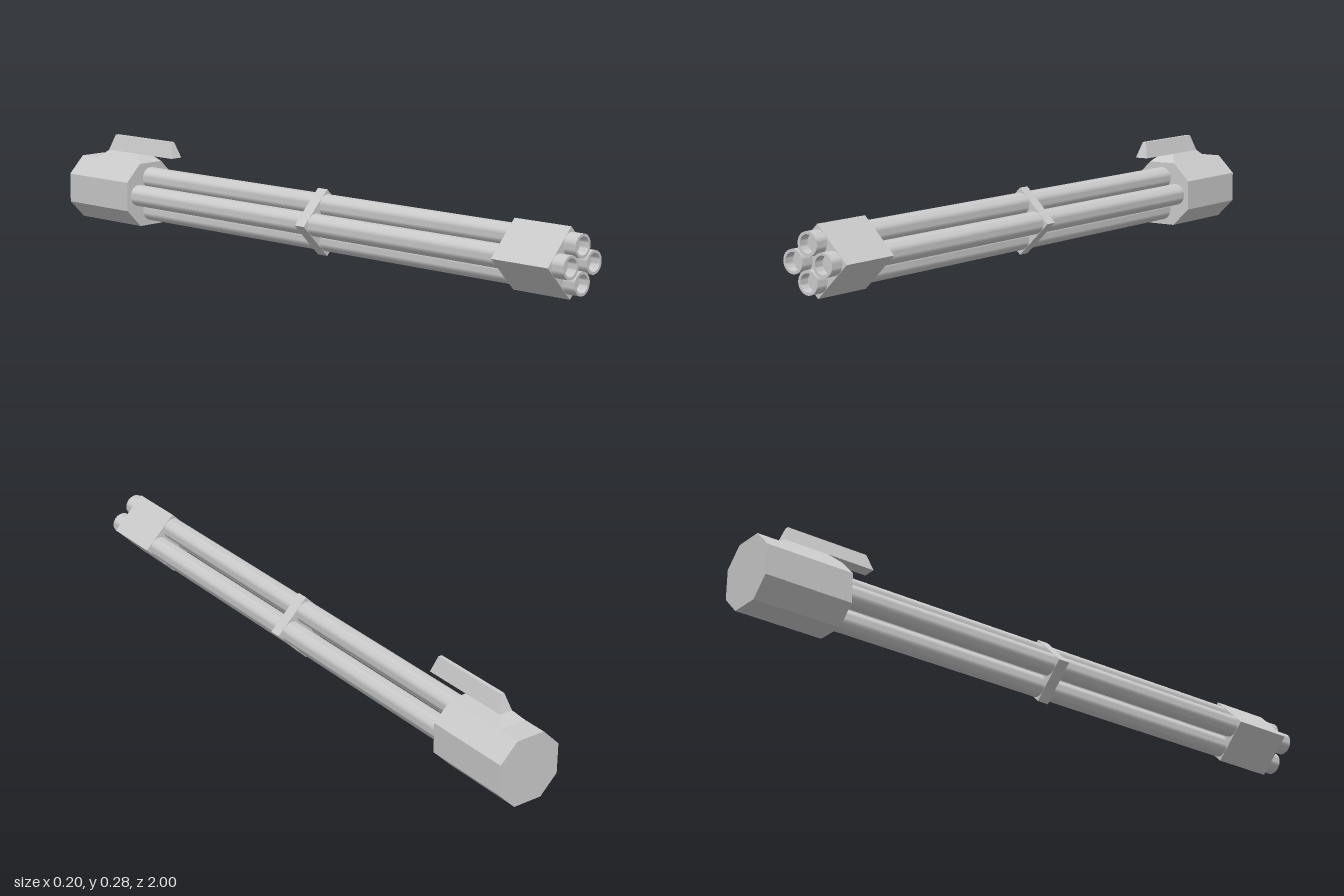
import * as THREE from 'three';
import { toCreasedNormals } from 'three/addons/utils/BufferGeometryUtils.js';
import { ConvexGeometry } from 'three/addons/geometries/ConvexGeometry.js';

const CY = 0.102; // height of the barrel cluster's axis
const R = 0.101;  // half-width of the clamps and rear block

export function createModel() {
  const group = new THREE.Group();
  const smooth = new THREE.MeshStandardMaterial({ color: 0xcccccc });
  const flat = new THREE.MeshStandardMaterial({ color: 0xcccccc, flatShading: true });

  const add = (name, geometry, material, x = 0, y = 0, z = 0) => {
    const mesh = new THREE.Mesh(geometry, material);
    mesh.name = name;
    mesh.position.set(x, y, z);
    group.add(mesh);
  };

  // Four hollow-ended barrels around the axis
  const profile = [[0, -0.74], [0.034, -0.74], [0.034, 1], [0.026, 1], [0.026, 0.97], [0, 0.97]]
    .map(([r, z]) => new THREE.Vector2(r, z));
  const barrel = toCreasedNormals(new THREE.LatheGeometry(profile, 28).rotateX(Math.PI / 2), 0.6);
  for (let i = 0; i < 4; i++) {
    const a = i * Math.PI / 2;
    add('barrel', barrel, smooth, 0.052 * Math.cos(a), CY + 0.052 * Math.sin(a), 0);
  }

  // Diamond-section clamps binding the barrels
  const clamp = (name, z0, z1) => add(name,
    new THREE.CylinderGeometry(R, R, z1 - z0, 4).rotateX(Math.PI / 2), flat, 0, CY, (z0 + z1) / 2);
  clamp('muzzleClamp', 0.766, 0.96);
  clamp('middleBand', 0.022, 0.06);

  // Octagonal rear block
  const c = 0.046;
  const octagon = new THREE.Shape([[R, -c], [R, c], [c, R], [-c, R], [-R, c], [-R, -c], [-c, -R], [c, -R]]
    .map(([x, y]) => new THREE.Vector2(x, y)));
  add('rearBlock', new THREE.ExtrudeGeometry(octagon, { depth: 0.28, bevelEnabled: false }), flat, 0, CY, -1);

  // Tapered solids: each level is [y, half-width, back z, front z]
  const taper = (name, ...levels) => add(name, new ConvexGeometry(levels.flatMap(([y, w, z0, z1]) =>
    [[-w, z0], [w, z0], [w, z1], [-w, z1]].map(([x, z]) => new THREE.Vector3(x, y, z)))), flat);
  taper('finBase', [CY + R, c, -0.925, -0.72], [0.229, 0.021, -0.897, -0.752]);
  taper('fin', [0.229, 0.021, -0.897, -0.597], [0.279, 0.006, -0.88, -0.614]);

  return group;
}
